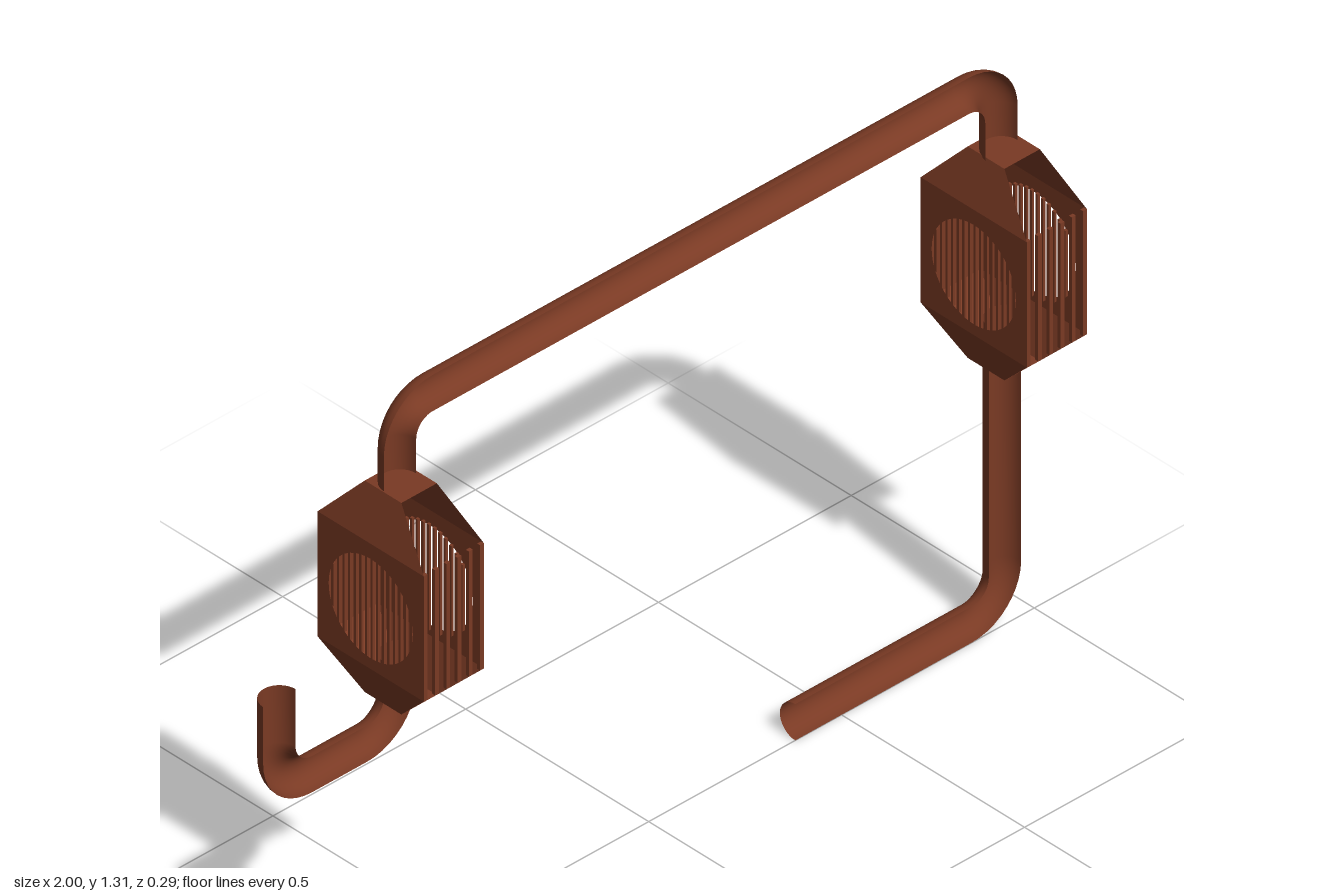
import * as THREE from 'three';

const flatMat = new THREE.MeshStandardMaterial({ color: 0x7a3a24, side: THREE.DoubleSide, flatShading: true });
const pipeMat = new THREE.MeshStandardMaterial({ color: 0x7a3a24, side: THREE.DoubleSide });

function add(parent, name, geometry, material = flatMat) {
  const mesh = new THREE.Mesh(geometry, material);
  mesh.name = name;
  parent.add(mesh);
  return mesh;
}

// Half-round channel, open to +z, swept along a right-angled path with rounded corners
function halfPipe(corners, r = 0.042, bend = 0.085) {
  const pts = corners.map(([x, y]) => new THREE.Vector2(x, y));
  const dirs = pts.slice(1).map((p, i) => p.clone().sub(pts[i]).normalize());
  const rings = [[pts[0], dirs[0]]];
  for (let i = 1; i < pts.length - 1; i++) {
    const a = dirs[i - 1], b = dirs[i];
    for (let k = 0; k <= 10; k++) {
      const t = (k / 10) * Math.PI / 2, s = Math.sin(t), c = Math.cos(t);
      rings.push([
        pts[i].clone().addScaledVector(a, -bend * (1 - s)).addScaledVector(b, bend * (1 - c)),
        a.clone().multiplyScalar(c).addScaledVector(b, s),
      ]);
    }
  }
  rings.push([pts[pts.length - 1], dirs[dirs.length - 1]]);

  const n = 16, pos = [], idx = [];
  rings.forEach(([p, t], j) => {
    for (let k = 0; k <= n; k++) {
      const a = Math.PI * k / n, w = r * Math.cos(a);
      pos.push(p.x - t.y * w, p.y + t.x * w, -r * Math.sin(a));
      if (j && k) {
        const d = j * (n + 1) + k, c = d - 1, b = d - n - 1, e = b - 1;
        idx.push(e, c, b, b, c, d);
      }
    }
  });
  const g = new THREE.BufferGeometry();
  g.setAttribute('position', new THREE.Float32BufferAttribute(pos, 3));
  g.setIndex(idx);
  g.computeVertexNormals();
  return g;
}

// Flat four-cornered panels
function quads(list) {
  const g = new THREE.BufferGeometry();
  const pos = list.flatMap(([a, b, c, d]) => [a, b, c, a, c, d].flat());
  g.setAttribute('position', new THREE.Float32BufferAttribute(pos, 3));
  g.computeVertexNormals();
  return g;
}

function cage(x) {
  const g = new THREE.Group();
  const W = 0.078, D = 0.145, w = 0.046, d = 0.05;
  const y0 = 0.615, y1 = 0.71, y2 = 1.0, y3 = 1.105, mid = 0.85, R = 0.115;

  // Solid back
  add(g, 'backPanel', quads([[[W, y1, -D], [-W, y1, -D], [-W, y2, -D], [W, y2, -D]]]));

  // Tapered ends: back and side slopes plus cap, open at the front
  for (const [name, ya, yb, f] of [['topTaper', y2, y3, 1], ['bottomTaper', y1, y0, -1]]) {
    const list = [
      [[W, ya, -D], [-W, ya, -D], [-w, yb, -d], [w, yb, -d]],
      [[W, ya, D], [W, ya, -D], [w, yb, -d], [w, yb, d]],
      [[-W, ya, -D], [-W, ya, D], [-w, yb, d], [-w, yb, -d]],
      [[-w, yb, d], [w, yb, d], [w, yb, -d], [-w, yb, -d]],
    ];
    add(g, name, quads(f > 0 ? list : list.map((q) => q.slice().reverse())));
  }

  // Side walls with a round opening, each backed by thin upright bars
  for (const s of [1, -1]) {
    const wall = new THREE.Shape();
    wall.moveTo(-D, y1).lineTo(D, y1).lineTo(D, y2).lineTo(-D, y2).closePath();
    wall.holes.push(new THREE.Path().absarc(0, mid, R, 0, Math.PI * 2, true));
    const side = add(g, s > 0 ? 'leftWall' : 'rightWall', new THREE.ShapeGeometry(wall, 24));
    side.rotation.y = s * Math.PI / 2;
    side.position.x = s * W;
    for (let i = -7; i <= 7; i++) {
      const z = i * 0.0153;
      const h = 2 * Math.sqrt(R * R - z * z) + 0.015;
      add(g, 'sideBar', new THREE.BoxGeometry(0.006, h, 0.006)).position.set(s * (W - 0.005), mid, z);
    }
  }

  // Upright grille bars across the front
  for (let i = 0; i <= 5; i++) {
    const bx = -W + 0.005 + i * (2 * W - 0.01) / 5;
    add(g, 'frontBar', new THREE.BoxGeometry(0.01, y2 - y1, 0.008)).position.set(bx, (y1 + y2) / 2, D - 0.004);
  }
  g.position.x = x;
  return g;
}

export function createModel() {
  const model = new THREE.Group();
  model.name = 'pipeWithCages';

  // Pipe runs
  add(model, 'hookPipe', halfPipe([[-0.958, 0.76], [-0.958, 0.542], [-0.645, 0.542], [-0.645, 0.71]]), pipeMat);
  add(model, 'topPipe', halfPipe([[-0.645, 1.055], [-0.645, 1.27], [0.915, 1.27], [0.915, 1.055]]), pipeMat);
  add(model, 'lowerPipe', halfPipe([[0.924, 0.71], [0.924, 0.042], [0.38, 0.042]]), pipeMat);

  // Grilled cages
  for (const [name, x] of [['rightCage', -0.643], ['leftCage', 0.921]]) {
    const c = cage(x);
    c.name = name;
    model.add(c);
  }
  return model;
}
